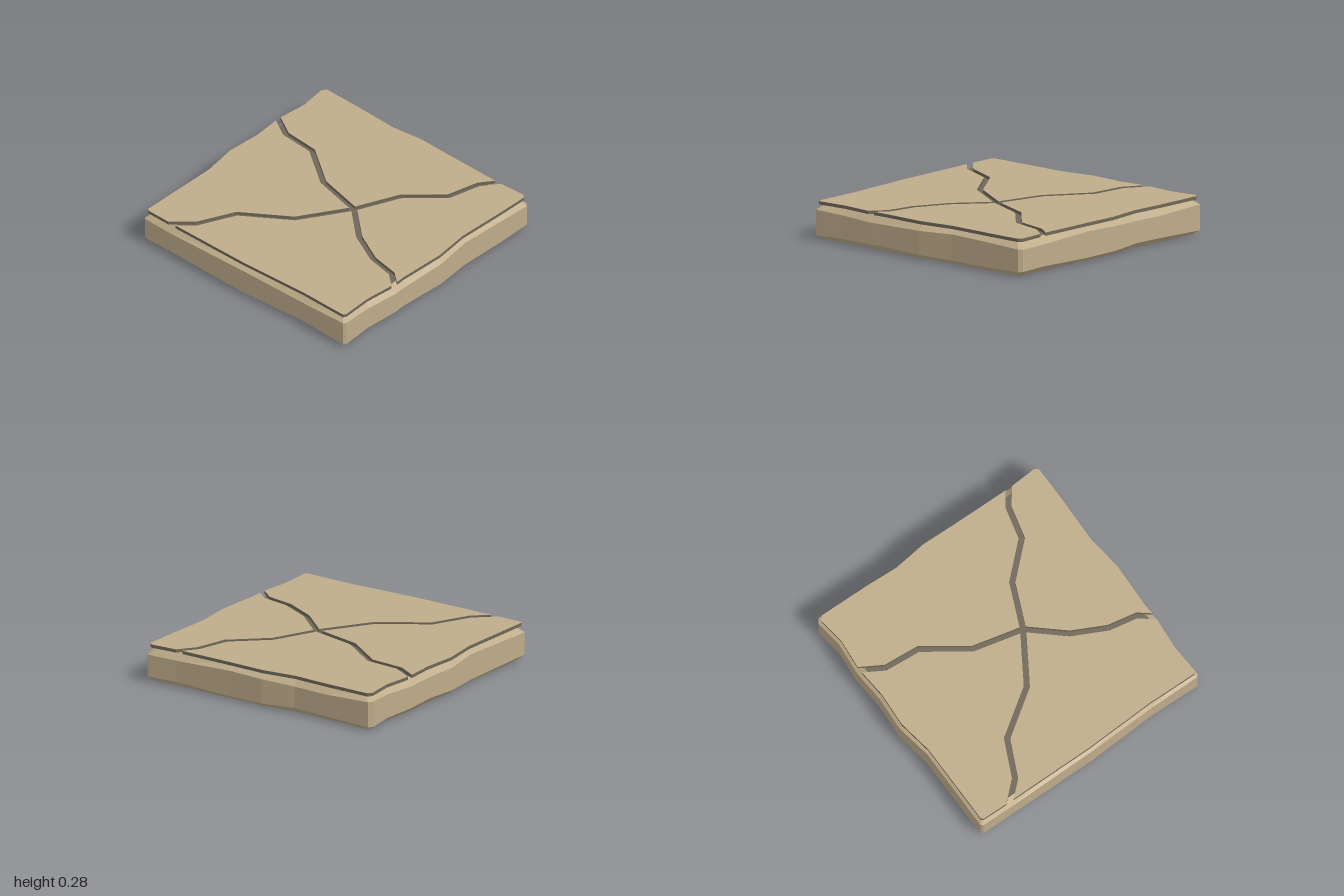
import * as THREE from 'three';

const stone = new THREE.MeshStandardMaterial({ color: 0xbfac8a });
stone.name = 'sandStone';
const dark = new THREE.MeshStandardMaterial({ color: 0x6f6859 });
dark.name = 'darkStone';

const BASE_TOP = 0.255, PLATE_TOP = 0.28, HALF_GAP = 0.022;

// Weathered outline as [x, z]; each side section starts at the tip of a crack
const sections = [
  [[-0.995, -0.49], [-0.97, -0.75], [-0.995, -0.96], [-0.97, -0.995], [-0.57, -0.985], [-0.31, -0.97], [-0.04, -1], [0.24, -0.99]],
  [[0.72, -0.98], [0.96, -0.99], [0.985, -0.965], [0.98, -0.7], [0.965, -0.32], [0.997, -0.03], [0.98, 0.35]],
  [[0.985, 0.455], [0.96, 0.72], [0.97, 0.965], [0.955, 0.985], [0.56, 0.975], [0, 0.993]],
  [[-0.72, 0.985], [-0.955, 0.98], [-0.97, 0.965], [-0.96, 0.31], [-1, 0.03], [-0.98, -0.24]],
];

// Cracks run from the shared centre towards the section tips
const centre = [0.15, -0.035];
const cracks = [
  [[-0.23, -0.13], [-0.545, -0.36], [-0.82, -0.385]],
  [[0.3, -0.37], [0.555, -0.6], [0.62, -0.85]],
  [[0.4, 0.19], [0.65, 0.32], [0.87, 0.365]],
  [[-0.09, 0.335], [-0.44, 0.57], [-0.575, 0.85]],
];

const scaled = (points, s) => points.map(([x, z]) => [x * s, z * s]);

function flatGeometry(triangles) {
  const geometry = new THREE.BufferGeometry();
  geometry.setAttribute('position', new THREE.Float32BufferAttribute(triangles.flat(), 3));
  geometry.computeVertexNormals();
  return geometry;
}

// Closed fan over a ring, facing up or down
function fan(ring, y, up) {
  return ring.flatMap(([x, , z], i) => {
    const [nx, , nz] = ring[(i + 1) % ring.length];
    const a = [x, y, z], b = [nx, y, nz];
    return up ? [[0, y, 0], b, a] : [[0, y, 0], a, b];
  });
}

// Shift a path sideways with mitred joints; its ends slide along the slab edge
function offsetPath(path, firstAxis, lastAxis) {
  const normals = path.slice(1).map(([x, z], i) => {
    const dx = x - path[i][0], dz = z - path[i][1], l = Math.hypot(dx, dz);
    return [-dz / l, dx / l];
  });
  return path.map(([x, z], i) => {
    const a = normals[i - 1], b = normals[i];
    if (!a || !b) {
      const n = a || b, e = a ? lastAxis : firstAxis;
      const k = HALF_GAP / (n[0] * e[0] + n[1] * e[1]);
      return [x + e[0] * k, z + e[1] * k];
    }
    const k = HALF_GAP / (1 + a[0] * b[0] + a[1] * b[1]);
    return [x + (a[0] + b[0]) * k, z + (a[1] + b[1]) * k];
  });
}

// Chamfered slab body with a dark upper face
function createBase() {
  const group = new THREE.Group();
  group.name = 'base';
  const outline = sections.flat();
  const wave = ([x, z]) => 0.01 * Math.sin(5 * x + 4 * z + 4.6);
  const ring = (s, y, amount) => outline.map((p) => [p[0] * s, y + amount * wave(p), p[1] * s]);
  const rings = [ring(0.96, 0, 0), ring(1, 0.033, -0.7), ring(1, 0.21, 1), ring(0.945, BASE_TOP, 0)];
  const triangles = fan(rings[0], 0, false);
  for (let r = 0; r < 3; r++) {
    outline.forEach((_, i) => {
      const j = (i + 1) % outline.length;
      const a = rings[r][i], b = rings[r][j], c = rings[r + 1][j], d = rings[r + 1][i];
      triangles.push(a, d, b, b, d, c);
    });
  }
  const body = new THREE.Mesh(flatGeometry(triangles), stone);
  body.name = 'slabBody';
  const floor = new THREE.Mesh(flatGeometry(fan(rings[3], BASE_TOP, true)), dark);
  floor.name = 'crackFloor';
  group.add(body, floor);
  return group;
}

// One broken paving plate between two neighbouring cracks
function createPlate(i) {
  const j = (i + 1) % 4;
  const edge = scaled(sections[i], 0.984);
  const nextTip = scaled(sections[j], 0.984)[0];
  const path = [nextTip, ...[...cracks[j]].reverse(), centre, ...cracks[i], edge[0]];
  const axis = (k) => (k % 2 ? [1, 0] : [0, 1]);
  const points = [...offsetPath(path, axis(j), axis(i)), ...edge.slice(1)];
  const shape = new THREE.Shape(points.map(([x, z]) => new THREE.Vector2(x, -z)));

  const group = new THREE.Group();
  group.name = 'plate' + (i + 1);
  const sides = new THREE.Mesh(
    new THREE.ExtrudeGeometry(shape, { depth: PLATE_TOP - BASE_TOP - 0.002, bevelEnabled: false }).rotateX(-Math.PI / 2), dark);
  sides.name = 'plateSides';
  sides.position.y = BASE_TOP;
  const face = new THREE.Mesh(new THREE.ShapeGeometry(shape).rotateX(-Math.PI / 2), stone);
  face.name = 'plateFace';
  face.position.y = PLATE_TOP;
  group.add(sides, face);
  return group;
}

export function createModel() {
  const model = new THREE.Group();
  model.name = 'crackedStoneTile';
  model.add(createBase());
  for (let i = 0; i < 4; i++) model.add(createPlate(i));
  return model;
}
